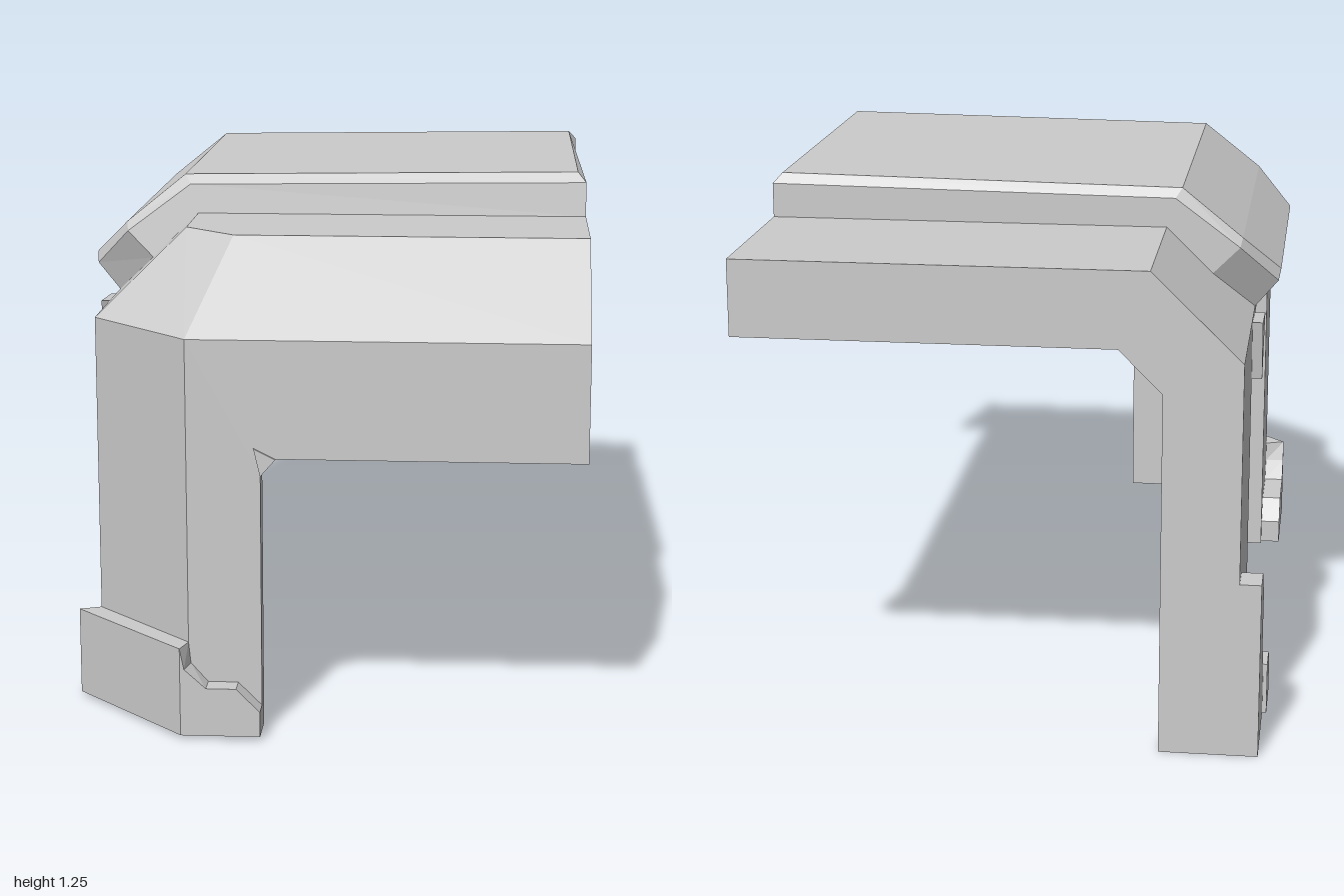
import * as THREE from 'three';

const material = new THREE.MeshStandardMaterial({ color: 0xcccccc, flatShading: true });
const SIDE = -Math.PI / 2; // turns a front-facing plate to face -x, its u axis becoming +z

export function createModel() {
  const model = new THREE.Group();

  function add(name, geometry) {
    const mesh = new THREE.Mesh(geometry, material);
    mesh.name = name;
    model.add(mesh);
    return mesh;
  }

  // Flat outline [u, v] extruded outwards by depth
  function plate(name, outline, depth, position, angle = 0) {
    const shape = new THREE.Shape(outline.map(([u, v]) => new THREE.Vector2(u, v)));
    const mesh = add(name, new THREE.ExtrudeGeometry(shape, { depth, bevelEnabled: false }));
    mesh.position.set(...position);
    mesh.rotation.y = angle;
    return mesh;
  }

  // Closed solid through a row of convex sections, capped at both ends
  function loft(name, rows) {
    const n = rows[0].length;
    const pos = [];
    const tri = (...points) => points.forEach((p) => pos.push(...p));
    for (let i = 0; i < rows.length - 1; i++) {
      const a = rows[i], b = rows[i + 1];
      for (let j = 0; j < n; j++) {
        const k = (j + 1) % n;
        tri(a[j], b[j], a[k]);
        tri(a[k], b[j], b[k]);
      }
    }
    const first = rows[0], last = rows[rows.length - 1];
    for (let j = 1; j < n - 1; j++) {
      tri(first[0], first[j], first[j + 1]);
      tri(last[0], last[j + 1], last[j]);
    }
    const geometry = new THREE.BufferGeometry();
    geometry.setAttribute('position', new THREE.Float32BufferAttribute(pos, 3));
    geometry.computeVertexNormals();
    return add(name, geometry);
  }

  // Upright band following a plan path: outer x, z, inner x, z, bottom, top
  const band = (name, path) => loft(name, path.map(([xo, zo, xi, zi, y0, y1]) =>
    [[xo, y1, zo], [xo, y0, zo], [xi, y0, zi], [xi, y1, zi]]));

  // Flat roof slab
  const roof = plate('roof',
    [[0.61, 1], [-0.34, 1], [-0.34, -0.62], [-0.215, -0.735], [0.61, -0.735]],
    0.04, [0, 1.1, 0]);
  roof.rotation.x = -Math.PI / 2;

  // Sloping eave around the front, the corner and the side
  // outer top x, z, outer rim x, z, inner rim x, z, inner top x, z
  loft('eave', [
    [0.61, 0.735, 0.61, 0.95, 0.61, 0.905, 0.61, 0.72],
    [-0.215, 0.735, -0.305, 0.95, -0.285, 0.905, -0.2, 0.72],
    [-0.34, 0.62, -0.55, 0.70, -0.505, 0.685, -0.32, 0.605],
    [-0.34, -1, -0.55, -1, -0.505, -1, -0.32, -1],
  ].map((s) => [1.14, 0.935, 0.915, 1.1].map((y, j) => [s[2 * j], y, s[2 * j + 1]])));

  // Front wall with its half of the front leg
  plate('frontWall', [[-0.305, 0.935], [-0.305, 0.01], [-0.135, 0.01], [-0.135, 0.625],
    [-0.1, 0.66], [0.61, 0.66], [0.61, 0.935]], 0.045, [0, 0, 0.905]);

  // Diagonal face of the front leg
  band('frontLegCorner', [
    [-0.305, 0.95, -0.285, 0.905, 0.01, 0.935],
    [-0.55, 0.70, -0.505, 0.685, 0.01, 0.935],
  ]);

  // Side wall with the arch between the legs
  plate('sideWall', [[0.70, 0.935], [0.70, 0.01], [0.41, 0.01], [0.41, 0.785], [0.31, 0.915],
    [-0.475, 0.915], [-0.585, 0.785], [-0.585, 0], [-1, 0], [-1, 0.935]],
  0.045, [-0.505, 0, 0], SIDE);

  // Back wall with its half of the back leg
  plate('backWall', [[0.61, 1.14], [-0.34, 1.14], [-0.55, 0.935], [-0.55, 0], [-0.37, 0],
    [-0.37, 0.86], [-0.27, 0.96], [0.61, 0.96]], 0.05, [0, 0, -1]);

  // Raised roof panel: base, side and top edge, then front and back z
  const stations = [
    [[0.61, 1.14], [0.61, 1.222], [0.59, 1.245], 0.385, -0.548],
    [[-0.34, 1.14], [-0.36, 1.21], [-0.375, 1.232], 0.385, -0.548],
    [[-0.45, 1.03], [-0.515, 1.095], [-0.52, 1.115], 0.4, -0.548],
    [[-0.55, 0.935], [-0.605, 1.0], [-0.61, 1.025], 0.31, -0.47],
  ];
  loft('roofPanel', stations.map(([base, side, top, zf, zb]) => [
    [...top, zb + 0.02], [...top, zf - 0.025], [...side, zf],
    [...base, zf + 0.01], [...base, zb], [...side, zb],
  ]));

  // Foot guard wrapping the front leg
  band('frontFootGuard', [
    [-0.135, 1, -0.135, 0.95, 0.01, 0.07],
    [-0.19, 1, -0.19, 0.95, 0.01, 0.125],
    [-0.26, 1, -0.26, 0.95, 0.01, 0.125],
    [-0.31, 1, -0.3, 0.95, 0.01, 0.17],
    [-0.32, 1, -0.305, 0.95, 0.01, 0.22],
    [-0.6, 0.72, -0.55, 0.70, 0.01, 0.22],
    [-0.6, 0.7, -0.55, 0.69, 0.01, 0.17],
    [-0.6, 0.65, -0.55, 0.65, 0.01, 0.125],
    [-0.6, 0.48, -0.55, 0.48, 0.01, 0.125],
    [-0.6, 0.43, -0.55, 0.43, 0.01, 0.07],
  ]);

  // Foot guard and toe on the back leg
  plate('backFootGuard', [[-1, 0], [-0.75, 0], [-0.75, 0.125], [-0.84, 0.21], [-0.84, 0.34],
    [-0.92, 0.42], [-1, 0.42]], 0.05, [-0.55, 0, 0], SIDE);
  plate('backFootToe', [[-0.75, 0], [-0.61, 0], [-0.61, 0.08], [-0.67, 0.125], [-0.75, 0.125]],
    0.06, [-0.55, 0, 0], SIDE);

  // Small triangular gussets in the corners of the openings
  plate('frontGusset', [[-0.135, 0.62], [-0.1, 0.66], [-0.15, 0.685]], 0.03, [0, 0, 0.926]);
  plate('sideGussetFront', [[0.41, 0.785], [0.46, 0.93], [0.31, 0.92]], 0.045, [-0.53, 0, 0], SIDE);
  plate('sideGussetBack', [[-0.585, 0.785], [-0.475, 0.92], [-0.61, 0.93]], 0.045, [-0.53, 0, 0], SIDE);

  return model;
}
